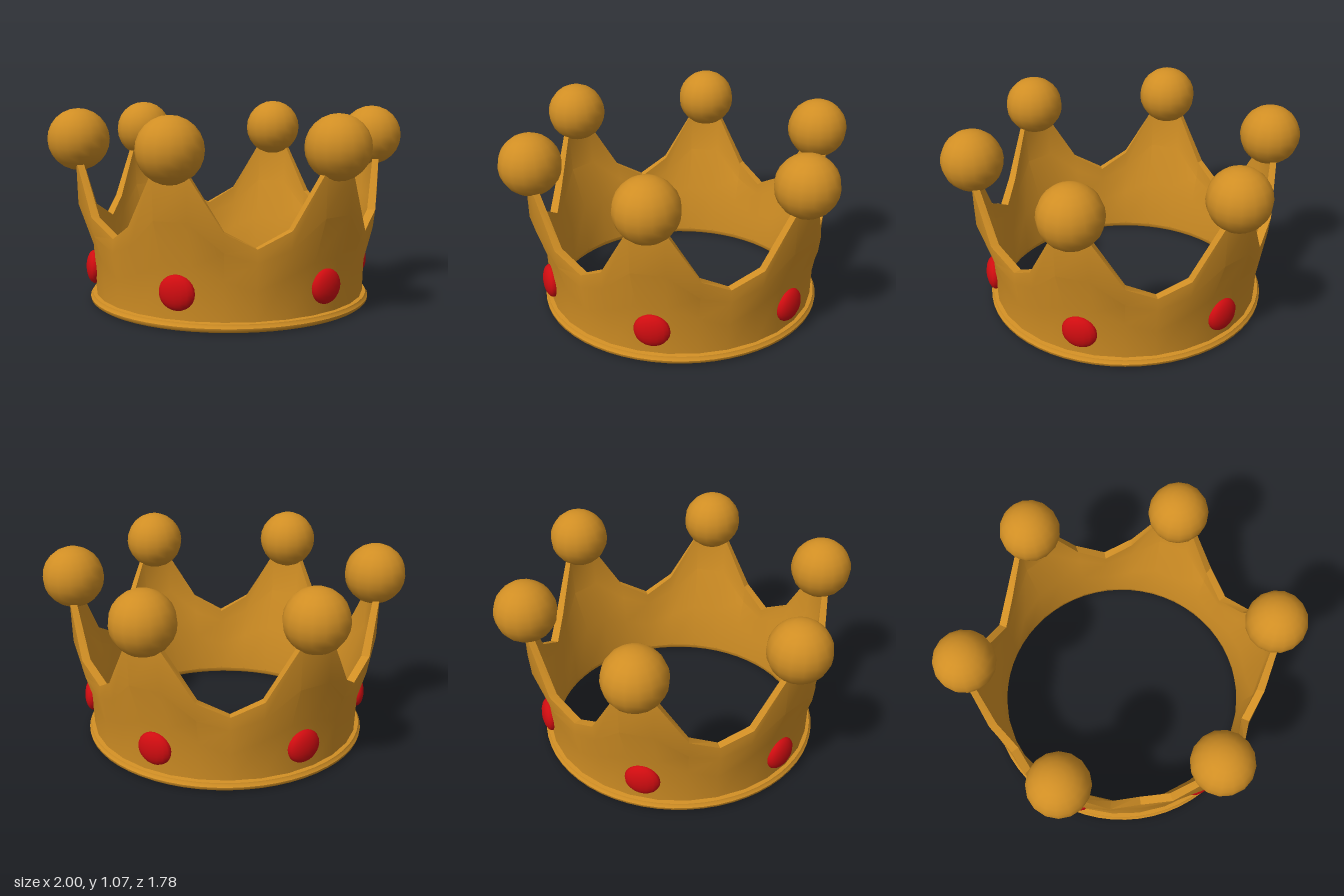
import * as THREE from 'three';
import { toCreasedNormals } from 'three/addons/utils/BufferGeometryUtils.js';

const POINTS = 6, COLUMNS = 30;

// Cross-sections [radius, y] of the wall, from bottom outside, over the top, to bottom inside
const sections = [
  // beside a spire's centre line
  [[0.755, 0.03], [0.768, 0.325], [0.848, 0.56], [0.855, 0.8], [0.82, 0.8], [0.808, 0.56], [0.725, 0.325], [0.712, 0.03]],
  // on the slope of a spire
  [[0.755, 0.03], [0.762, 0.26], [0.808, 0.41], [0.82, 0.51], [0.775, 0.51], [0.765, 0.41], [0.72, 0.26], [0.712, 0.03]],
  // valley between spires
  [[0.755, 0.03], [0.76, 0.2], [0.786, 0.35], [0.782, 0.42], [0.737, 0.42], [0.737, 0.35], [0.718, 0.2], [0.712, 0.03]],
];
const pattern = [0, 1, 2, 1, 0];

function wallGeometry() {
  const positions = [], indices = [], n = sections[0].length;
  for (let k = 0; k < COLUMNS; k++) {
    const angle = ((k + 0.5) / COLUMNS) * Math.PI * 2;
    for (const [r, y] of sections[pattern[k % 5]]) {
      positions.push(r * Math.cos(angle), y, r * Math.sin(angle));
    }
    for (let j = 0; j < n; j++) {
      const up = (j + 1) % n, next = ((k + 1) % COLUMNS) * n;
      const a = k * n + j, b = k * n + up, c = next + up, d = next + j;
      indices.push(a, b, d, b, c, d);
    }
  }
  const geometry = new THREE.BufferGeometry();
  geometry.setAttribute('position', new THREE.Float32BufferAttribute(positions, 3));
  geometry.setIndex(indices);
  return toCreasedNormals(geometry, 0.5);
}

export function createModel() {
  const gold = new THREE.MeshStandardMaterial({ color: 0xd08e24 });
  gold.name = 'gold';
  const red = new THREE.MeshStandardMaterial({ color: 0xd00c10 });
  red.name = 'ruby red';

  const crown = new THREE.Group();
  crown.name = 'crown';
  const add = (name, geometry, material, parent = crown) => {
    const mesh = new THREE.Mesh(geometry, material);
    mesh.name = name;
    parent.add(mesh);
    return mesh;
  };

  // Flared wall with six spires
  add('wall', wallGeometry(), gold);

  // Rounded rim around the foot
  const rim = [
    [0.712, 0.04], [0.712, 0.012], [0.722, 0.002], [0.74, 0], [0.772, 0.002],
    [0.785, 0.012], [0.787, 0.026], [0.777, 0.038], [0.775, 0.046], [0.75, 0.05],
  ].map(([r, y]) => new THREE.Vector2(r, y));
  add('rim', toCreasedNormals(new THREE.LatheGeometry(rim, 60), 0.8), gold);

  // A ball on each spire and a gem below it
  const ballGeometry = new THREE.SphereGeometry(0.168, 16, 12);
  const gemGeometry = new THREE.SphereGeometry(1, 16, 12).scale(0.045, 0.092, 0.097);
  for (let i = 0; i < POINTS; i++) {
    const spoke = new THREE.Group();
    spoke.name = 'spireOrnament' + (i + 1);
    spoke.rotation.y = (i / POINTS) * Math.PI * 2;
    add('ball', ballGeometry, gold, spoke).position.set(0.833, 0.905, 0);
    add('gem', gemGeometry, red, spoke).position.set(0.763, 0.192, 0);
    crown.add(spoke);
  }
  return crown;
}
